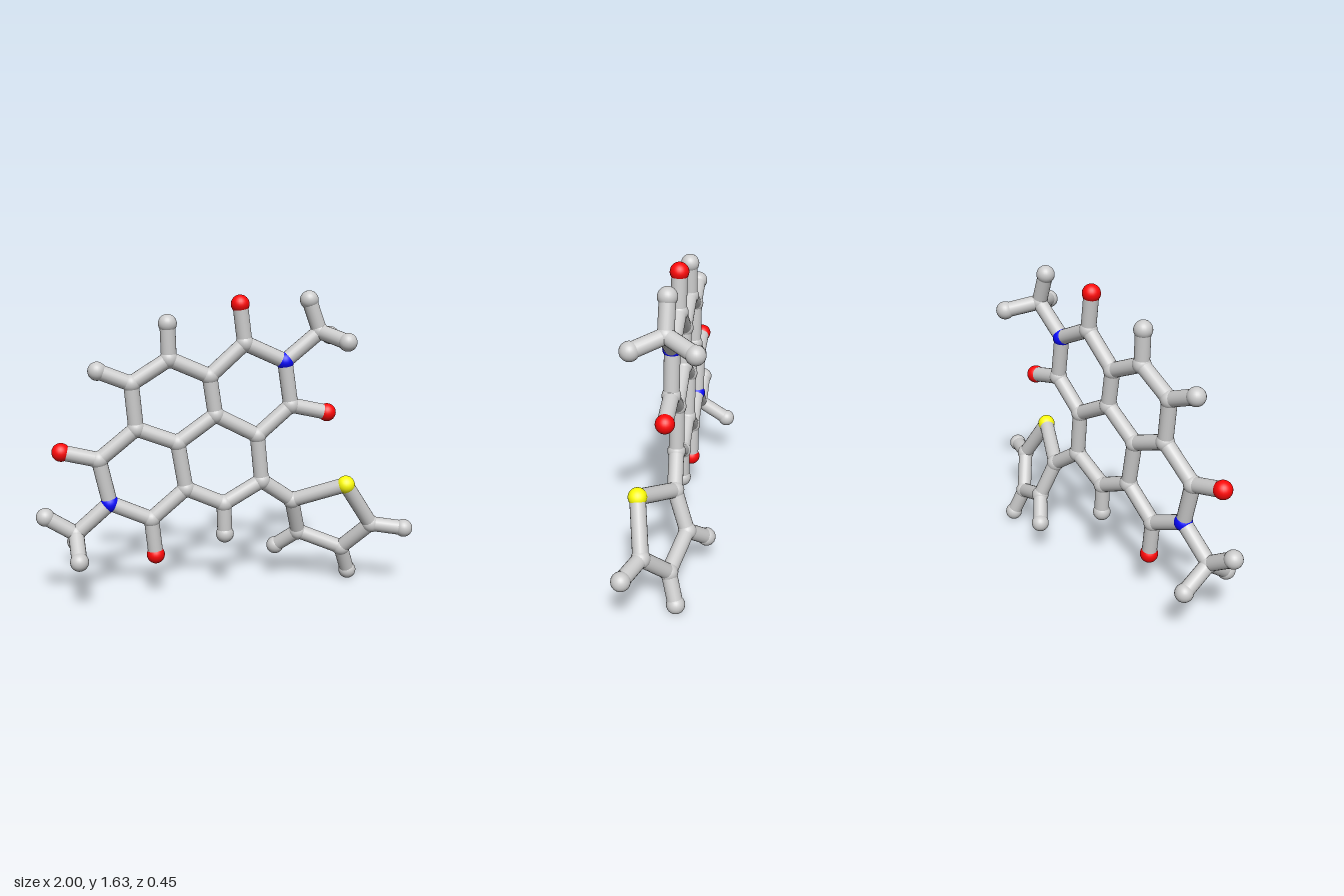
import * as THREE from 'three';

const BALL = 0.048, STICK = 0.04;
const grey = new THREE.MeshStandardMaterial({ color: 0xcccccc });
const red = new THREE.MeshStandardMaterial({ color: 0xff0808 });
const blue = new THREE.MeshStandardMaterial({ color: 0x0808ff });
const yellow = new THREE.MeshStandardMaterial({ color: 0xffff08 });

// Depth of the slightly turned plane that holds the fused rings
const plane = x => 0.009 - 0.03 * x;

// Atom positions [x, y, z]; z is left out for atoms on the ring plane
const atoms = {
  // four fused rings
  c1: [0.165, 0.875], c2: [-0.06, 0.995], c3: [-0.09, 1.2], c4: [-0.3, 1.295],
  c5: [-0.495, 1.175], c6: [-0.475, 0.94], c7: [-0.26, 0.855], c8: [-0.22, 0.605],
  c9: [-0.015, 0.51], c10: [0.19, 0.625],
  c11: [0.095, 1.365], n1: [0.31, 1.265], c12: [0.345, 1.03],
  c13: [-0.67, 0.785], n2: [-0.62, 0.55], c14: [-0.405, 0.45],
  // oxygen and hydrogen ends
  o1: [0.07, 1.565], o2: [0.545, 0.983], o3: [-0.86, 0.835], o4: [-0.385, 0.25],
  h4: [-0.305, 1.475], h5: [-0.665, 1.245], h9: [-0.01, 0.34],
  // methyl groups
  m1: [0.495, 1.415], m1a: [0.435, 1.58], m1b: [0.605, 1.375, 0.14], m1c: [0.595, 1.375, -0.16],
  m2: [-0.8, 0.395], m2a: [-0.953, 0.495], m2b: [-0.79, 0.29, 0.175], m2c: [-0.8, 0.295, -0.13],
  // five-sided side ring
  t1: [0.365, 0.5, -0.02], s1: [0.625, 0.612, 0.115], t2: [0.785, 0.37, 0.07],
  t3: [0.655, 0.205, -0.041], t4: [0.42, 0.295, -0.093],
  ht2: [0.952, 0.355, 0.13], ht3: [0.71, 0.05, -0.085], ht4: [0.31, 0.19, -0.178],
};

// Chains of atoms joined by sticks
const chains = [
  'c1 c2 c7 c8 c9 c10 c1', 'c2 c3 c4 c5 c6 c7',
  'c3 c11 n1 c12 c1', 'c6 c13 n2 c14 c8',
  'c11 o1', 'c12 o2', 'c13 o3', 'c14 o4', 'c4 h4', 'c5 h5', 'c9 h9',
  'n1 m1 m1a', 'm1b m1 m1c', 'n2 m2 m2a', 'm2b m2 m2c',
  'c10 t1 s1 t2 t3 t4 t1', 't2 ht2', 't3 ht3', 't4 ht4',
];

const kinds = {
  c: ['carbonBall', grey], t: ['carbonBall', grey], m: ['methylBall', grey], h: ['hydrogenBall', grey],
  o: ['oxygenBall', red], n: ['nitrogenBall', blue], s: ['sulfurBall', yellow],
};

export function createModel() {
  const model = new THREE.Group();
  model.name = 'molecule';
  const balls = new THREE.Group(), sticks = new THREE.Group();
  balls.name = 'atoms';
  sticks.name = 'bonds';
  model.add(balls, sticks);

  // Balls
  const ballShape = new THREE.SphereGeometry(BALL, 24, 16);
  const points = {};
  for (const [id, [x, y, z = plane(x)]] of Object.entries(atoms)) {
    points[id] = new THREE.Vector3(x, y, z);
    const [name, material] = kinds[id[0]];
    const ball = new THREE.Mesh(ballShape, material);
    ball.name = name;
    ball.position.copy(points[id]);
    balls.add(ball);
  }

  // Sticks
  const stickShape = new THREE.CylinderGeometry(STICK, STICK, 1, 20, 1, true);
  const up = new THREE.Vector3(0, 1, 0);
  for (const chain of chains) {
    const ids = chain.split(' ');
    for (let i = 1; i < ids.length; i++) {
      const a = points[ids[i - 1]], b = points[ids[i]];
      const along = b.clone().sub(a);
      const stick = new THREE.Mesh(stickShape, grey);
      stick.name = 'bond';
      stick.position.copy(a).lerp(b, 0.5);
      stick.scale.y = along.length();
      stick.quaternion.setFromUnitVectors(up, along.normalize());
      sticks.add(stick);
    }
  }
  return model;
}
